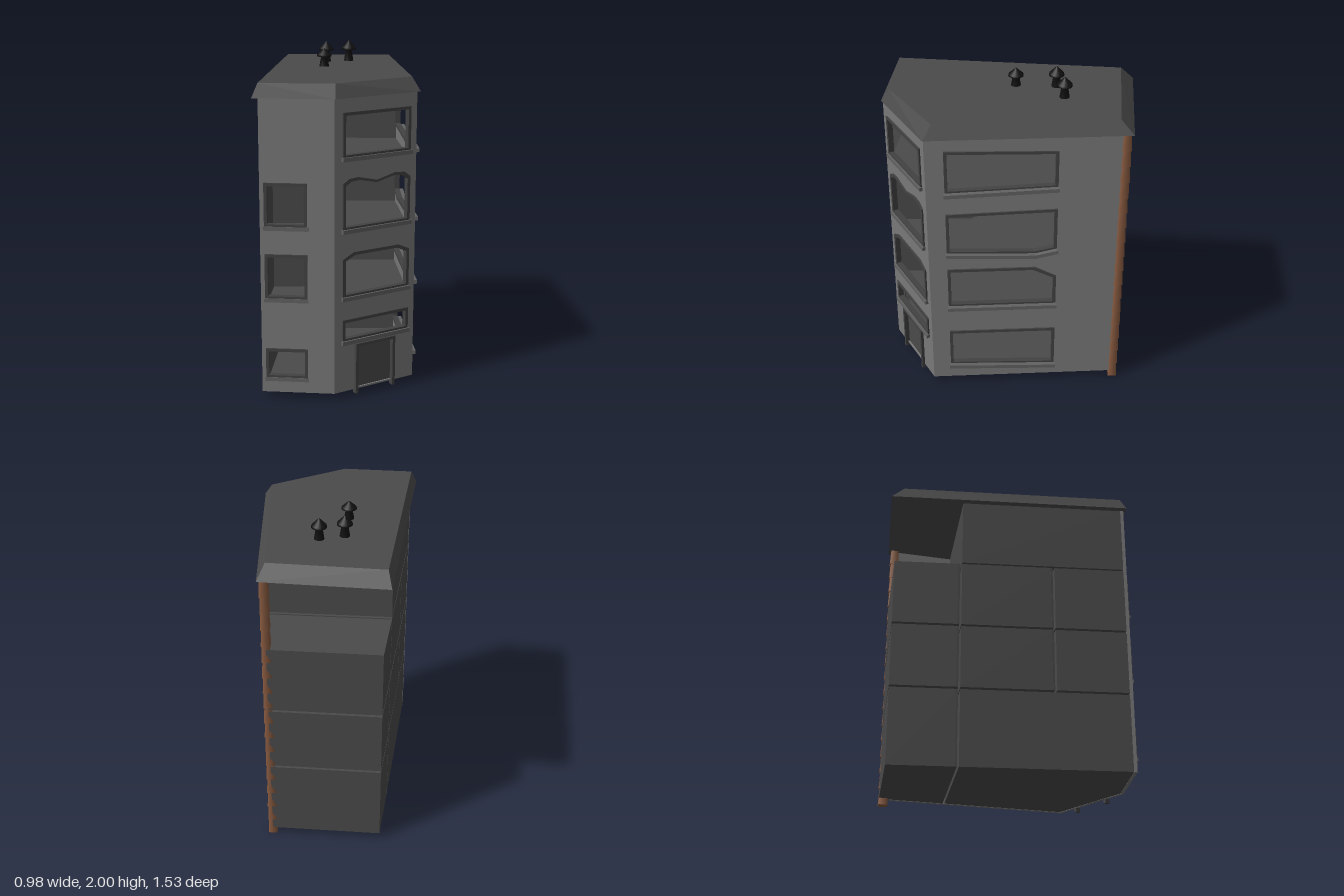
import * as THREE from 'three';
import { ConvexGeometry } from 'three/addons/geometries/ConvexGeometry.js';

const mat = (name, color) => Object.assign(new THREE.MeshStandardMaterial({ color }), { name });

export function createModel() {
  const M = {
    plaster: mat('plaster grey', 0x787878),
    dark: mat('dark grey', 0x4a4a4a),
    frame: mat('frame grey', 0x424242),
    sill: mat('sill grey', 0x626262),
    brick: mat('brick brown', 0x86593f),
    black: mat('vent black', 0x111111),
  };
  const model = new THREE.Group();
  model.name = 'cornerBuilding';

  const add = (parent, name, geo, material, x = 0, y = 0, z = 0) => {
    const m = new THREE.Mesh(geo, material);
    m.name = name;
    m.position.set(x, y, z);
    parent.add(m);
    return m;
  };
  const shapeOf = (pts) => new THREE.Shape(pts.map(([a, b]) => new THREE.Vector2(a, b)));
  const extrude = (shape, depth) => new THREE.ExtrudeGeometry(shape, { depth, bevelEnabled: false });
  // Group whose x runs along plan line p -> q and whose z points outwards
  const sideGroup = (name, p, q) => {
    const g = new THREE.Group();
    g.name = name;
    g.position.set(p[0], 0, p[1]);
    g.rotation.y = Math.atan2(-(q[1] - p[1]), q[0] - p[0]);
    model.add(g);
    return g;
  };
  const dist = (p, q) => Math.hypot(q[0] - p[0], q[1] - p[1]);
  const rect = (x0, y0, x1, y1) => [[x0, y0], [x1, y0], [x1, y1], [x0, y1]];
  // Shrink an outline by t on every side of its bounding box
  const inset = (pts, t) => {
    const box = new THREE.Box2().setFromPoints(pts.map(([a, b]) => new THREE.Vector2(a, b)));
    const c = box.getCenter(new THREE.Vector2()), s = box.getSize(new THREE.Vector2());
    return pts.map(([a, b]) => [c.x + (a - c.x) * (1 - 2 * t / s.x), c.y + (b - c.y) * (1 - 2 * t / s.y)]);
  };

  // Facade with window openings, frames and sills; a window has bottom and top lines, left to right
  function facade(name, p, q, windows, sillDepth, door) {
    const g = sideGroup(name, p, q);
    const wall = shapeOf(rect(0, 0.04, dist(p, q), 1.79));
    for (const { bottom, top } of windows) {
      const outline = [...bottom, ...[...top].reverse()];
      wall.holes.push(shapeOf(inset(outline, 0.01)));
      const ring = shapeOf(outline);
      ring.holes.push(shapeOf(inset(outline, 0.018)));
      add(g, 'windowFrame', extrude(ring, 0.033), M.frame, 0, 0, -0.024);
      for (let i = 0; i < bottom.length - 1; i++) {
        const [a, b] = [bottom[i], bottom[i + 1]];
        const s = add(g, 'windowSill', new THREE.BoxGeometry(dist(a, b) + 0.012, 0.024, sillDepth + 0.02), M.sill,
          (a[0] + b[0]) / 2, (a[1] + b[1]) / 2 - 0.006, sillDepth / 2 - 0.01);
        s.rotation.z = Math.atan2(b[1] - a[1], b[0] - a[0]);
      }
    }
    if (door) {
      const [x0, x1, top] = door;
      wall.holes.push(shapeOf(rect(x0 + 0.01, 0.05, x1 - 0.01, top - 0.01)));
      add(g, 'door', new THREE.BoxGeometry(x1 - x0, top - 0.04, 0.008), M.dark, (x0 + x1) / 2, (top + 0.04) / 2, -0.014);
      for (const x of [x0 + 0.009, x1 - 0.009])
        add(g, 'doorPost', new THREE.BoxGeometry(0.018, top - 0.015, 0.034), M.frame, x, (top + 0.015) / 2, 0.001);
      add(g, 'doorLintel', new THREE.BoxGeometry(x1 - x0, 0.018, 0.034), M.frame, (x0 + x1) / 2, top - 0.009, 0.001);
    }
    add(g, 'facadeWall', extrude(wall, 0.02), M.plaster, 0, 0, -0.02);
  }

  // Plan corners: front left, front, right, back right
  const A = [-0.455, 0.7], B = [-0.03, 0.755], C = [0.455, 0.492], D = [0.41, -0.685];
  const flat = (x0, x1, y0, y1) => ({ bottom: [[x0, y0], [x1, y0]], top: [[x0, y1], [x1, y1]] });

  facade('leftFacade', A, B, [[0.13, 0.315], [0.62, 0.89], [1.05, 1.31]]
    .map(([a, b]) => flat(0.025, 0.272, a, b)), 0.012);

  facade('entranceFacade', B, C, [
    flat(0.051, 0.507, 0.355, 0.49),
    { bottom: [[0.051, 0.625], [0.507, 0.625]], top: [[0.051, 0.86], [0.12, 0.895], [0.43, 0.895], [0.507, 0.86]] },
    { bottom: [[0.051, 1.03], [0.507, 1.03]],
      top: [[0.051, 1.305], [0.09, 1.33], [0.15, 1.335], [0.275, 1.305], [0.4, 1.335], [0.465, 1.33], [0.507, 1.3]] },
    flat(0.051, 0.507, 1.45, 1.71),
  ], 0.02, [0.137, 0.412, 0.33]);

  facade('rightFacade', C, D, [
    { bottom: [[0.11, 0.15], [0.77, 0.128]], top: [[0.11, 0.415], [0.77, 0.415]] },
    { bottom: [[0.11, 0.61], [0.77, 0.61]], top: [[0.11, 0.89], [0.64, 0.89], [0.77, 0.82]] },
    { bottom: [[0.11, 1.01], [0.64, 0.99], [0.77, 1.02]], top: [[0.11, 1.285], [0.77, 1.305]] },
    { bottom: [[0.11, 1.43], [0.77, 1.455]], top: [[0.11, 1.71], [0.77, 1.695]] },
  ], 0.035);

  // Hollow room: floor, ceiling and a wall on each edge that is not open
  function room(name, pts, y0, y1, open) {
    const slab = extrude(shapeOf(pts.map(([x, z]) => [x, -z])), 0.012).rotateX(-Math.PI / 2);
    add(model, name + 'Floor', slab, M.dark, 0, y0, 0);
    add(model, name + 'Ceiling', slab, M.dark, 0, y1 - 0.012, 0);
    pts.forEach((p, i) => {
      if (open.includes(i)) return;
      const q = pts[(i + 1) % pts.length];
      const g = sideGroup(name + 'Wall', p, q);
      add(g, name + 'WallPanel', new THREE.BoxGeometry(dist(p, q), y1 - y0 - 0.002, 0.012), M.dark,
        dist(p, q) / 2, (y0 + y1) / 2, -0.006);
    });
  }
  // Room corners just inside the facades
  const a = [-0.452, 0.688], b = [-0.03, 0.742], c = [0.441, 0.485], d = [0.392, -0.688], e = [-0.275, -0.73];
  const f = [-0.327, -0.318], g = [0.41, -0.275], fBack = [-0.326, -0.33], gBack = [0.409, -0.287];
  const storeys = [[0.042, 0.517], [0.53, 0.925], [0.938, 1.35], [1.36, 1.788]];
  storeys.forEach(([y0, y1], i) => {
    if (i === 0 || i === 3) room('frontRoom', [a, b, c, g, f], y0, y1, [0, 1, 2]);
    else {
      room('cornerRoom', [a, b, [-0.04, 0.25], [-0.398, 0.25]], y0, y1, [0]);
      room('mainRoom', [[-0.397, 0.238], [-0.03, 0.238], b, c, g, f], y0, y1, [2, 3]);
    }
    if (i < 3) room('backRoom', [fBack, gBack, d, e], y0, y1, []);
  });

  // Roof slab with sloping edges
  const eaves = [[-0.31, -0.77], [0.43, -0.7], [0.475, 0.495], [-0.025, 0.765], [-0.49, 0.71]];
  const ridge = [[-0.29, -0.69], [0.385, -0.625], [0.428, 0.445], [-0.025, 0.715], [-0.455, 0.68]];
  add(model, 'roof', new ConvexGeometry([
    ...eaves.map(([x, z]) => new THREE.Vector3(x, 1.79, z)),
    ...ridge.map(([x, z]) => new THREE.Vector3(x, 1.87, z)),
  ]), M.dark);

  // Roof vents with conical caps
  const vent = new THREE.LatheGeometry(
    [[0.03, 0], [0.02, 0.065], [0.046, 0.072], [0.044, 0.085], [0, 0.13]].map(([r, y]) => new THREE.Vector2(r, y)), 16);
  for (const [x, z, s] of [[-0.045, -0.28, 1], [0.1, -0.32, 1], [-0.065, -0.04, 0.86]])
    add(model, 'roofVent', vent, M.black, x, 1.87, z).scale.y = s;

  // Brick corner column, each block slightly flared
  const n = 17, h = 1.79 / n;
  const block = new THREE.CylinderGeometry(0.032, 0.039, h, 4, 1).rotateY(Math.PI / 4);
  for (let i = 0; i < n; i++) add(model, 'cornerBrick', block, M.brick, 0.392, h * (i + 0.5), -0.663);

  return model;
}
